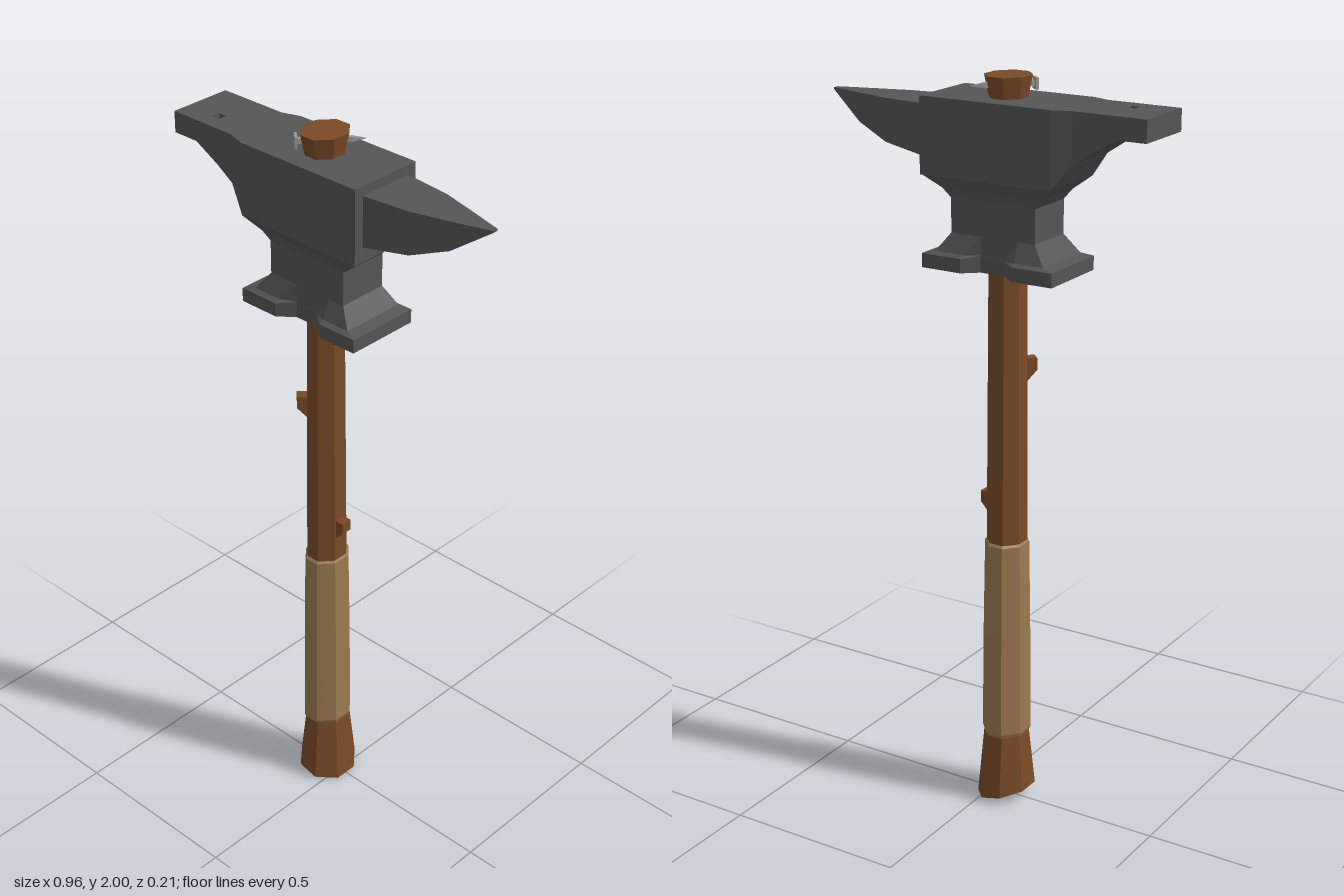
import * as THREE from 'three';

const CX = -0.047; // handle axis

const material = (color) => new THREE.MeshStandardMaterial({ color, flatShading: true });

// Skin a list of rings (arrays of [x, y, z], right-handed about the sweep axis) and cap both ends.
function loft(rings) {
  const pos = [];
  const n = rings[0].length;
  const tri = (a, b, c) => pos.push(...a, ...b, ...c);
  const centre = (r) => [0, 1, 2].map((k) => r.reduce((s, p) => s + p[k], 0) / n);
  const first = rings[0], last = rings[rings.length - 1];
  const c0 = centre(first), c1 = centre(last);
  for (let j = 0; j < n; j++) {
    const k = (j + 1) % n;
    for (let i = 0; i + 1 < rings.length; i++) {
      const [r, s] = [rings[i], rings[i + 1]];
      tri(r[j], r[k], s[k]);
      tri(r[j], s[k], s[j]);
    }
    tri(c0, first[k], first[j]);
    tri(c1, last[j], last[k]);
  }
  const g = new THREE.BufferGeometry();
  g.setAttribute('position', new THREE.Float32BufferAttribute(pos, 3));
  g.computeVertexNormals();
  return g;
}

// Rectangular section across x
const slab = (x, yb, yt, z0, z1) => [[x, yb, z0], [x, yt, z0], [x, yt, z1], [x, yb, z1]];

// Horizontal section of the anvil foot, notched by n at front and back
function footRing([y, x0, x1, z, n]) {
  const front = [[x0, z], [-0.12, z], [-0.08, z - n], [-0.01, z - n], [0.03, z], [x1, z]];
  const back = front.map(([x, w]) => [x, -w]).reverse();
  return [...front, ...back].map(([x, w]) => [x, y, w]);
}

// Octagonal section of the handle: half widths rx, rz; tilt slants it along x
function octagon([y, rx, rz, tilt = 0]) {
  const f = 0.4;
  return [[-f, 1], [f, 1], [1, f], [1, -f], [f, -1], [-f, -1], [-1, -f], [-1, f]]
    .map(([u, w]) => [CX + u * rx, y - u * tilt, w * rz]);
}

export function createModel() {
  const model = new THREE.Group();
  const iron = material(0x555555);
  const wood = material(0x7a4a26);
  const wrap = material(0x9c7a50);
  const steel = material(0x999999);

  const add = (name, geometry, mat, parent = model) => {
    const mesh = new THREE.Mesh(geometry, mat);
    mesh.name = name;
    parent.add(mesh);
    return mesh;
  };

  // Anvil
  const anvil = new THREE.Group();
  anvil.name = 'anvilHead';
  model.add(anvil);
  const top = 1.945, heel = 0.088, hx0 = -0.389, hx1 = -0.365;

  // Heel, split around the square hole
  add('heelEnd', loft([
    slab(-0.48, 1.888, top, -heel, heel),
    slab(-0.405, 1.888, top, -heel, heel),
    slab(hx0, 1.88, top, -heel, heel),
  ]), iron, anvil);
  for (const [z0, z1] of [[-heel, 0.021], [0.047, heel]]) {
    add('heelHoleSide', loft([slab(hx0, 1.88, top, z0, z1), slab(hx1, 1.867, top, z0, z1)]), iron, anvil);
  }
  add('anvilBody', loft([
    [hx1, 1.867, heel], [-0.333, 1.85, heel], [-0.28, 1.815, heel],
    [-0.23, 1.75, 0.105], [0.148, 1.747, 0.105],
  ].map(([x, yb, w]) => slab(x, yb, top, -w, w))), iron, anvil);

  // Horn
  add('horn', loft([
    [0.14, 1.785, 0.079], [0.28, 1.808, 0.064], [0.38, 1.845, 0.037], [0.48, 1.915, 0.008],
  ].map(([x, yb, w]) => slab(x, yb, 1.92, -w, w))), iron, anvil);

  // Waist and foot
  add('waistAndFoot', loft([
    [1.508, -0.237, 0.145, 0.105, 0.034],
    [1.545, -0.237, 0.145, 0.105, 0.034],
    [1.552, -0.205, 0.113, 0.092, 0.022],
    [1.6, -0.168, 0.078, 0.07, 0],
    [1.69, -0.168, 0.078, 0.07, 0],
    [1.715, -0.187, 0.098, 0.08, 0],
    [1.75, -0.23, 0.147, 0.105, 0],
  ].map(footRing)), iron, anvil);

  // Handle
  add('shaft', loft([
    [0.2, 0.053, 0.06], [0.77, 0.05, 0.056], [1.5, 0.046, 0.05], [1.94, 0.044, 0.05],
    [2, 0.055, 0.063],
  ].map(octagon)), wood);
  add('pommel', loft([
    [0.02, 0.072, 0.084, 0.018], [0.205, 0.056, 0.063],
  ].map(octagon)), wood);
  add('gripWrap', loft([
    [0.2, 0.056, 0.064], [0.212, 0.06, 0.069], [0.5, 0.058, 0.066],
    [0.762, 0.054, 0.062], [0.768, 0.05, 0.057],
  ].map(octagon)), wrap);

  // Branch stubs: wedge profile, pointing outward along local +x
  const stubShape = new THREE.Shape([[-0.02, -0.03], [0, -0.03], [0.026, -0.002], [0.026, 0.03], [-0.02, 0.03]]
    .map(([x, y]) => new THREE.Vector2(x, y)));
  for (const [x, y, z, turn] of [[-0.001, 0.865, 0, 0], [-0.079, 1.238, 0.039, -Math.PI * 0.75]]) {
    const g = new THREE.ExtrudeGeometry(stubShape, { depth: 0.032, bevelEnabled: false });
    g.translate(0, 0, -0.016);
    const stub = add('branchStub', g, wood);
    stub.position.set(x, y, z);
    stub.rotation.y = turn;
  }

  // Nail driven diagonally through the handle top, pointing along local +x
  const nail = new THREE.Group();
  nail.name = 'nail';
  nail.position.set(-0.04, 1.975, -0.007);
  nail.rotation.y = Math.atan2(0.135, 0.12);
  model.add(nail);
  add('nailShank', new THREE.BoxGeometry(0.13, 0.013, 0.013), steel, nail).position.x = -0.012;
  add('nailHead', new THREE.BoxGeometry(0.007, 0.03, 0.03), steel, nail).position.x = -0.08;
  const tip = new THREE.ConeGeometry(0.0092, 0.038, 4).rotateY(Math.PI / 4).rotateZ(-Math.PI / 2);
  add('nailTip', tip, steel, nail).position.x = 0.072;

  return model;
}
